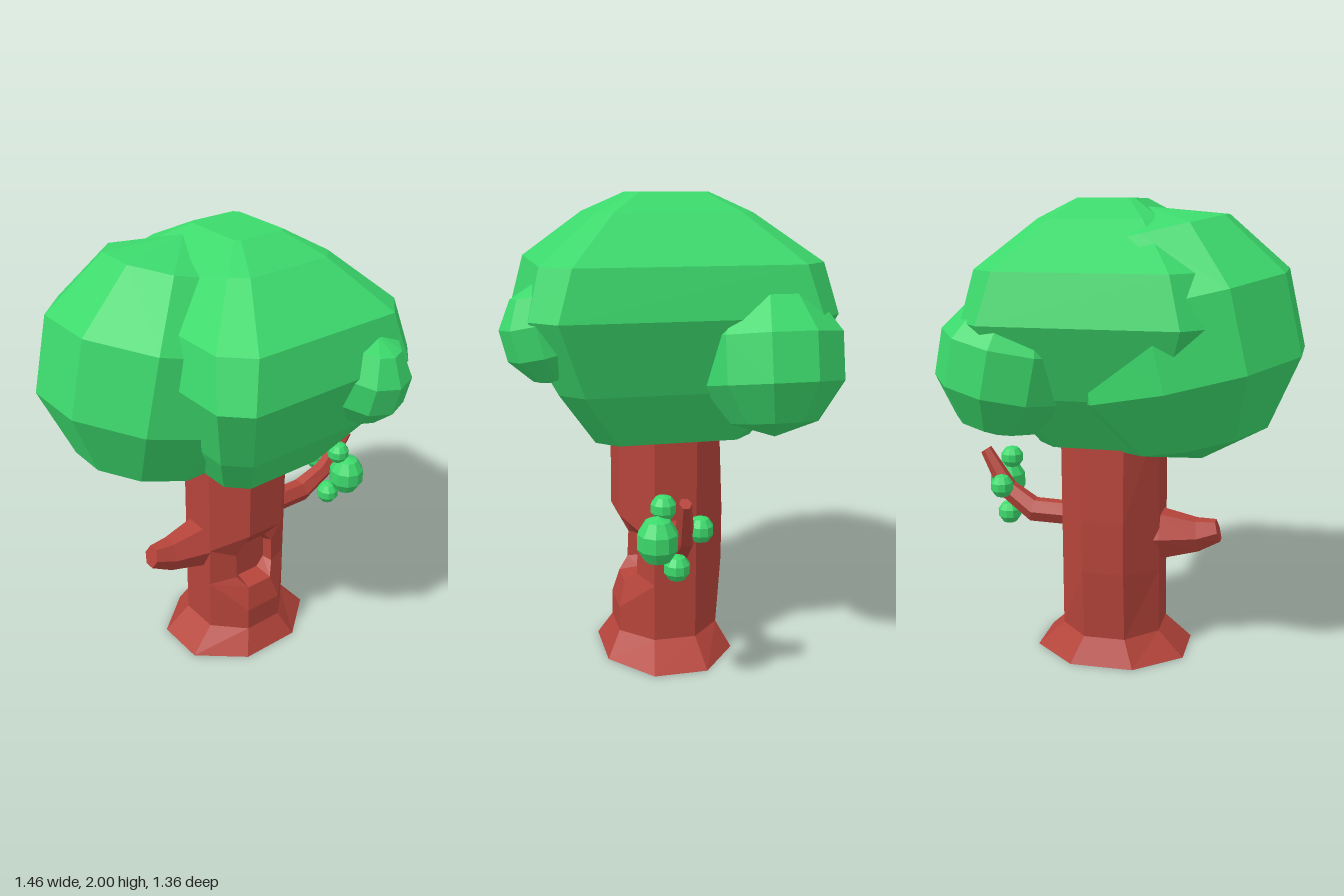
import * as THREE from 'three';

const bark = new THREE.MeshStandardMaterial({ color: 0xb5443a, flatShading: true });
const leaf = new THREE.MeshStandardMaterial({ color: 0x3cd96c, flatShading: true });

// Faces between two closed loops of points, leaving out the segments in skip
function band(a, b, skip = []) {
  const out = [];
  a.forEach((p, i) => {
    if (skip.includes(i)) return;
    const j = (i + 1) % a.length;
    out.push(p, a[j], b[j], p, b[j], b[i]);
  });
  return out;
}

// Flat fan that closes a loop
function cap(loop) {
  const out = [];
  for (let i = 1; i < loop.length - 1; i++) out.push(loop[0], loop[i], loop[i + 1]);
  return out;
}

// Closed skin over a stack of loops
function loft(rings) {
  const out = [...cap([...rings[0]].reverse()), ...cap(rings.at(-1))];
  for (let i = 0; i < rings.length - 1; i++) out.push(...band(rings[i], rings[i + 1]));
  return out;
}

function skin(name, points, material) {
  const g = new THREE.BufferGeometry().setFromPoints(points);
  g.computeVertexNormals();
  const mesh = new THREE.Mesh(g, material);
  mesh.name = name;
  return mesh;
}

// Eight-sided trunk loop; y may differ per corner, corners 0 and 1 face the front
function trunkRing(rx, rz, y, backBulge = 0) {
  return Array.from({ length: 8 }, (_, i) => {
    const a = (i - 0.5) * Math.PI / 4;
    const back = i === 4 || i === 5 ? backBulge : 0;
    return new THREE.Vector3(0.07 + rx * Math.sin(a), Array.isArray(y) ? y[i] : y, -0.03 + rz * Math.cos(a) - back);
  });
}

function trunk() {
  const r = 0.238;
  const foot = trunkRing(0.363, 0.303, 0);
  const ankle = trunkRing(r, r, 0.11);
  const low = trunkRing(r, r, [0.22, 0.22, 0.36, 0.4, 0.42, 0.42, 0.4, 0.36], 0.02);
  const high = trunkRing(r, r, [0.65, 0.65, 0.55, 0.6, 0.65, 0.65, 0.6, 0.55], 0.02);
  const top = trunkRing(r, r, 1.1);
  // Dented hollow in the front
  const outer = [low[7], low[0], low[1], low[2], high[2], high[1], high[0], high[7]];
  const rim = [
    [-0.035, 0.38, 0.115], [0, 0.33, 0.16], [0.13, 0.33, 0.16], [0.175, 0.38, 0.115],
    [0.175, 0.5, 0.11], [0.13, 0.55, 0.11], [0, 0.55, 0.11], [-0.035, 0.5, 0.11],
  ].map(p => new THREE.Vector3(...p));
  const floor = rim.map(p => new THREE.Vector3(0.07 + (p.x - 0.07) * 0.85, 0.44 + (p.y - 0.44) * 0.87, 0.07));
  return skin('trunk', [
    ...cap([...foot].reverse()), ...band(foot, ankle), ...band(ankle, low),
    ...band(low, high, [7, 0, 1]), ...band(high, top), ...cap(top),
    ...band(outer, rim), ...band(rim, floor), ...cap(floor),
  ], bark);
}

// Six-sided tapering limb through stations [x, y, z, radius]
function limb(name, stations) {
  const pts = stations.map(s => new THREE.Vector3(s[0], s[1], s[2]));
  const zAxis = new THREE.Vector3(0, 0, 1);
  const rings = pts.map((p, k) => {
    const t = pts[Math.min(k + 1, pts.length - 1)].clone().sub(pts[Math.max(k - 1, 0)]);
    const v = new THREE.Vector3(-t.y, t.x, 0).normalize();
    return Array.from({ length: 6 }, (_, i) => {
      const a = (i + 0.5) * Math.PI / 3;
      return p.clone().addScaledVector(v, stations[k][3] * Math.cos(a) * 1.12)
        .addScaledVector(zAxis, stations[k][3] * Math.sin(a));
    });
  });
  return skin(name, loft(rings), bark);
}

// Rectangular loop with cut corners
function canopyRing([y, x0, x1, z0, z1, c]) {
  return [
    [x0 + c, z1], [x1 - c, z1], [x1, z1 - c], [x1, z0 + c],
    [x1 - c, z0], [x0 + c, z0], [x0, z0 + c], [x0, z1 - c],
  ].map(([x, z]) => new THREE.Vector3(x, y, z));
}

// Low-poly leaf ball
function puff(name, pos, radii, rot = [0, 0, 0]) {
  const mesh = new THREE.Mesh(new THREE.SphereGeometry(1, 10, 5).rotateY(Math.PI / 10), leaf);
  mesh.name = name;
  mesh.position.set(...pos);
  mesh.scale.set(...radii);
  mesh.rotation.set(...rot);
  return mesh;
}

export function createModel() {
  const tree = new THREE.Group();
  tree.name = 'tree';
  tree.add(trunk());

  // Branches
  tree.add(limb('brokenBranch', [
    [-0.08, 0.545, -0.04, 0.11], [-0.15, 0.545, -0.04, 0.105], [-0.31, 0.55, -0.04, 0.07], [-0.4, 0.575, -0.04, 0.047],
  ]));
  tree.add(limb('leafyBranch', [
    [0.2, 0.6, -0.02, 0.05], [0.46, 0.605, -0.01, 0.052], [0.59, 0.69, 0.01, 0.042], [0.7, 0.865, 0.035, 0.025],
  ]));

  // Main crown: y, x range, z range, corner cut
  tree.add(skin('crown', loft([
    [1.0, -0.19, 0.33, -0.36, 0.3, 0.08],
    [1.23, -0.32, 0.46, -0.52, 0.46, 0.09],
    [1.53, -0.42, 0.56, -0.65, 0.58, 0.1],
    [1.73, -0.38, 0.52, -0.6, 0.53, 0.11],
    [1.92, -0.18, 0.32, -0.35, 0.29, 0.06],
    [2.0, -0.05, 0.19, -0.19, 0.12, 0.02],
  ].map(canopyRing)), leaf));

  // Side crowns
  tree.add(puff('rightCrown', [-0.22, 1.45, -0.16], [0.55, 0.53, 0.49], [0, 0, -0.225]));
  tree.add(puff('leftCrown', [0.42, 1.35, -0.39], [0.3, 0.31, 0.31], [0, 0, 0.2]));
  tree.add(puff('frontCrown', [0.32, 1.47, 0.48], [0.175, 0.205, 0.2], [0.25, 0, 0]));

  // Leaf clumps on the branch
  [
    [[0.63, 0.7, 0.125], [0.085, 0.1, 0.085]],
    [[0.595, 0.82, 0.095], [0.053, 0.053, 0.053]],
    [[0.595, 0.567, 0.04], [0.055, 0.056, 0.055]],
    [[0.595, 0.72, -0.055], [0.053, 0.056, 0.053]],
  ].forEach(([p, r], i) => tree.add(puff('leafClump' + (i + 1), p, r)));

  return tree;
}
